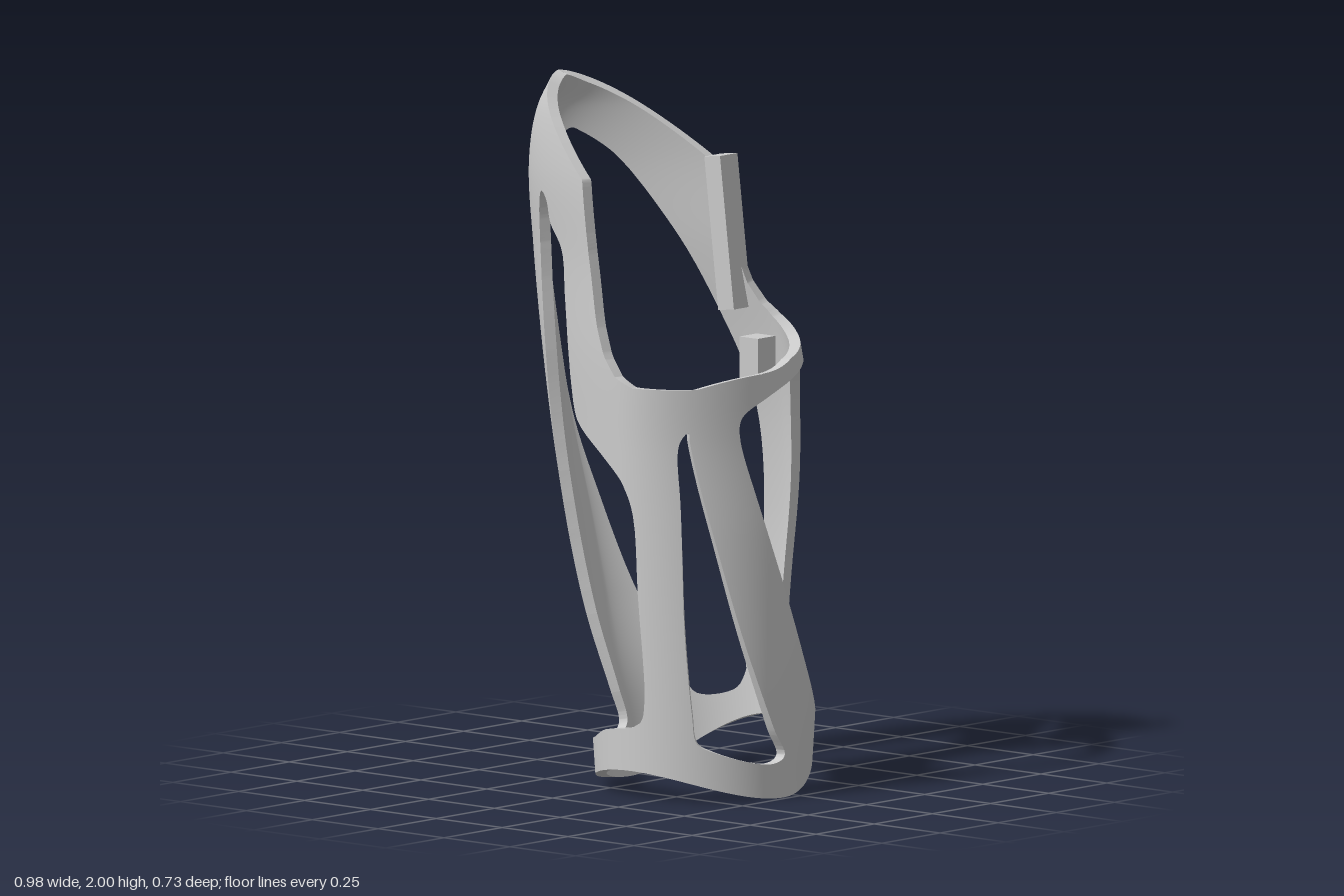
import * as THREE from 'three';
import { mergeVertices } from 'three/addons/utils/BufferGeometryUtils.js';

const WALL = 0.032, SEAM = THREE.MathUtils.degToRad(70), TAU = Math.PI * 2;
const ARC = 0.33; // mean radius, turns angles into lengths on the unrolled shell

// Egg-shaped sections: y, left x, right x, widest x, front z, back z, roundness of left half
const SECTIONS = [
  [0, -0.12, 0.487, 0.18, 0.365, -0.25, 2],
  [0.25, -0.165, 0.48, 0.175, 0.365, -0.285, 1.95],
  [0.5, -0.245, 0.463, 0.165, 0.365, -0.325, 1.8],
  [0.75, -0.325, 0.435, 0.155, 0.363, -0.355, 1.7],
  [1.0, -0.4, 0.39, 0.14, 0.36, -0.362, 1.6],
  [1.25, -0.445, 0.35, 0.12, 0.355, -0.343, 1.55],
  [1.5, -0.48, 0.29, 0.08, 0.335, -0.31, 1.5],
  [1.75, -0.492, 0.2, 0.02, 0.317, -0.28, 1.5],
  [1.9, -0.46, 0.14, 0, 0.295, -0.255, 1.5],
  [2.0, -0.4, 0.1, 0, 0.28, -0.24, 1.5],
];
const profile = new THREE.CubicInterpolant(
  SECTIONS.map((s) => s[0]), SECTIONS.flatMap((s) => s.slice(1)), 6);

function section(y) {
  const [xl, xr, xm, zf, zb, p] = profile.evaluate(y);
  return { xl, xr, xm, zm: (zf + zb) / 2, b: (zf - zb) / 2, p };
}
const spow = (v, e) => Math.sign(v) * Math.abs(v) ** e;

// Point on the outer skin; angle 0 = +x, 90 degrees = front
function skin(a, y) {
  const s = section(y), c = Math.cos(a), e = c > 0 ? 1 : 2 / s.p;
  return new THREE.Vector3(
    s.xm + (c > 0 ? s.xr - s.xm : s.xm - s.xl) * spow(c, e), y,
    s.zm + s.b * spow(Math.sin(a), e));
}

// Convert (x, y) on front/back or (z, y) on left/right of the skin to unrolled coordinates
const unroll = (a, y) => new THREE.Vector3((SEAM + THREE.MathUtils.euclideanModulo(a - SEAM, TAU)) * ARC, y, 0);
const clamp1 = (v) => THREE.MathUtils.clamp(v, -1, 1);
function angleFromX(x, y) {
  const s = section(y), right = x > s.xm;
  const t = clamp1((x - s.xm) / (right ? s.xr - s.xm : s.xm - s.xl));
  return Math.acos(spow(t, right ? 1 : s.p / 2));
}
function angleFromZ(z, y, p) {
  const s = section(y);
  return Math.asin(spow(clamp1((z - s.zm) / s.b), (p || s.p) / 2));
}
const front = (x, y) => unroll(angleFromX(x, y), y);
const back = (x, y) => unroll(-angleFromX(x, y), y);
const right = (z, y) => unroll(angleFromZ(z, y, 2), y);
const left = (z, y) => unroll(Math.PI - angleFromZ(z, y), y);

// Four windows, each a smooth closed outline
const WINDOWS = [
  // front right
  [front(0.29, 1.02), front(0.305, 1.055), right(0.26, 1.03), right(0.235, 0.8), right(0.17, 0.45),
    right(0.09, 0.2), right(0.05, 0.12), right(0.1, 0.1), front(0.4, 0.145), front(0.367, 0.17),
    front(0.355, 0.25), front(0.33, 0.5), front(0.305, 0.85)],
  // back right
  [right(0.115, 1.04), right(0.1, 1.085), right(0, 1.13), right(-0.15, 1.17), back(0.25, 1.2), back(0.21, 1.18),
    back(0.19, 1.08), back(0.18, 0.85), back(0.17, 0.6), back(0.19, 0.3), back(0.215, 0.25),
    back(0.3, 0.22), right(-0.21, 0.2), right(-0.16, 0.225), right(-0.07, 0.36), right(0.03, 0.64), right(0.09, 0.88)],
  // back left
  [left(-0.06, 1.83), left(-0.02, 1.74), left(0, 1.5), left(0, 1.15), left(-0.04, 0.8), left(-0.09, 0.5),
    left(-0.16, 0.26), left(-0.185, 0.215), back(0.04, 0.23), back(0.065, 0.27), back(0.08, 0.5),
    back(0.075, 0.8), back(0.04, 1.07), back(-0.05, 1.3), back(-0.17, 1.53), back(-0.33, 1.75), back(-0.41, 1.82)],
  // front left
  [front(-0.3, 1.685), front(-0.265, 1.665), front(-0.24, 1.6), front(-0.175, 1.54), front(-0.15, 1.4),
    front(-0.095, 1.09), front(-0.07, 1.05), front(0.06, 0.97), front(0.15, 0.89), front(0.18, 0.82), front(0.2, 0.6),
    front(0.225, 0.28), front(0.21, 0.22), front(0.06, 0.185), front(-0.02, 0.15), left(0.1, 0.12), left(0.05, 0.15),
    left(0.07, 0.25), left(0.12, 0.5), left(0.16, 0.85), left(0.18, 1.2), left(0.19, 1.6)],
].map((pts) => new THREE.CatmullRomCurve3(pts, true, 'centripetal').getPoints(90));

// Signed distance to a closed outline, positive outside
function distance(px, py, pts) {
  let best = Infinity, inside = false;
  for (let i = 0, j = pts.length - 1; i < pts.length; j = i++) {
    const a = pts[j], b = pts[i], dx = b.x - a.x, dy = b.y - a.y;
    const t = THREE.MathUtils.clamp(((px - a.x) * dx + (py - a.y) * dy) / (dx * dx + dy * dy || 1), 0, 1);
    best = Math.min(best, Math.hypot(px - a.x - t * dx, py - a.y - t * dy));
    if ((a.y > py) !== (b.y > py) && px < a.x + ((py - a.y) / dy) * dx) inside = !inside;
  }
  return inside ? -best : best;
}

// Height of the upper rim by x
const RIM_FRONT = [[-0.4, 2], [-0.06, 1.75], [-0.03, 1.56], [0.02, 1.35], [0.06, 1.26], [0.11, 1.205],
  [0.17, 1.18], [0.31, 1.175], [0.36, 1.2]];
const RIM_BACK = [[-0.4, 2], [-0.06, 1.75], [-0.02, 1.57], [0.04, 1.4], [0.08, 1.345], [0.13, 1.31],
  [0.22, 1.265], [0.33, 1.225], [0.36, 1.2]];
function rimHeight(x, table) {
  const k = table.findIndex((r) => r[0] > x);
  if (k === 0) return table[0][1];
  if (k < 0) return table[table.length - 1][1];
  const [x0, y0] = table[k - 1], [x1, y1] = table[k];
  return y0 + ((x - x0) / (x1 - x0)) * (y1 - y0);
}

// Positive where the shell has material
function material(a, y, p) {
  const s = Math.sin(a);
  const rim = rimHeight(p.x, s > 0 ? RIM_FRONT : RIM_BACK) - y;
  const base = y - (s > 0 ? 0.08 : 0.17) * s * s;
  return Math.min(rim, base, ...WINDOWS.map((w) => distance(a * ARC, y, w)));
}

function shellPoint(a, y) {
  const d = 0.02, outer = skin(a, y);
  const n = skin(a, y + d).sub(skin(a, y - d)).cross(skin(a + d, y).sub(skin(a - d, y))).normalize();
  return { outer, inner: outer.clone().addScaledVector(n, -WALL), f: material(a, y, outer) };
}

function geometryFrom(points) {
  const g = new THREE.BufferGeometry();
  g.setAttribute('position', new THREE.Float32BufferAttribute(points.flatMap((p) => [p.x, p.y, p.z]), 3));
  const merged = mergeVertices(g);
  merged.computeVertexNormals();
  return merged;
}

// Grid over the skin, trimmed along the rim, the base and the windows
function buildShell() {
  const NA = 260, NY = 180, outer = [], inner = [], edges = [], grid = [];
  for (let i = 0; i <= NA; i++) {
    grid.push([]);
    for (let j = 0; j <= NY; j++) grid[i].push(shellPoint(SEAM + ((i % NA) / NA) * TAU, -0.01 + (j / NY) * 2.01));
  }
  const cut = (a, b) => {
    const t = a.f / (a.f - b.f);
    return { outer: a.outer.clone().lerp(b.outer, t), inner: a.inner.clone().lerp(b.inner, t) };
  };
  const addTriangle = (tri) => {
    const poly = [];
    let exit, entry;
    tri.forEach((a, k) => {
      const b = tri[(k + 1) % 3];
      if (a.f > 0) poly.push(a);
      if (a.f > 0 !== b.f > 0) {
        const c = a.f > 0 ? cut(a, b) : cut(b, a);
        poly.push(c);
        if (a.f > 0) exit = c; else entry = c;
      }
    });
    for (let k = 1; k < poly.length - 1; k++) {
      outer.push(poly[0].outer, poly[k].outer, poly[k + 1].outer);
      inner.push(poly[0].inner, poly[k + 1].inner, poly[k].inner);
    }
    if (exit) edges.push(exit.outer, exit.inner, entry.inner, exit.outer, entry.inner, entry.outer);
  };
  for (let i = 0; i < NA; i++) for (let j = 0; j < NY; j++) {
    const a = grid[i][j], b = grid[i][j + 1], c = grid[i + 1][j + 1], d = grid[i + 1][j];
    addTriangle([a, b, c]);
    addTriangle([a, c, d]);
  }
  return { outerSkin: outer, innerSkin: inner, trimmedEdges: edges };
}

export function createModel() {
  const model = new THREE.Group();
  model.name = 'openFrameCuff';
  const material = new THREE.MeshStandardMaterial({ color: 0xcccccc });
  const add = (name, geometry, parent) => {
    const mesh = new THREE.Mesh(geometry, material);
    mesh.name = name;
    parent.add(mesh);
    return mesh;
  };

  const shell = new THREE.Group();
  shell.name = 'windowedShell';
  model.add(shell);
  for (const [name, points] of Object.entries(buildShell())) add(name, geometryFrom(points), shell);

  // Mounting blocks inside the back wall: name, width, height, x, y, tilt
  for (const [name, w, h, x, y, tilt] of [
    ['upperMountBlock', 0.06, 0.44, -0.012, 1.54, 0.12],
    ['middleMountBlock', 0.07, 0.13, 0.1, 1.185, 0],
    ['lowerMountBlock', 0.07, 0.24, 0.125, 0.42, 0],
  ]) {
    const block = add(name, new THREE.BoxGeometry(w, h, 0.075), model);
    block.position.set(x, y, -0.267);
    block.rotation.z = tilt;
  }
  return model;
}
